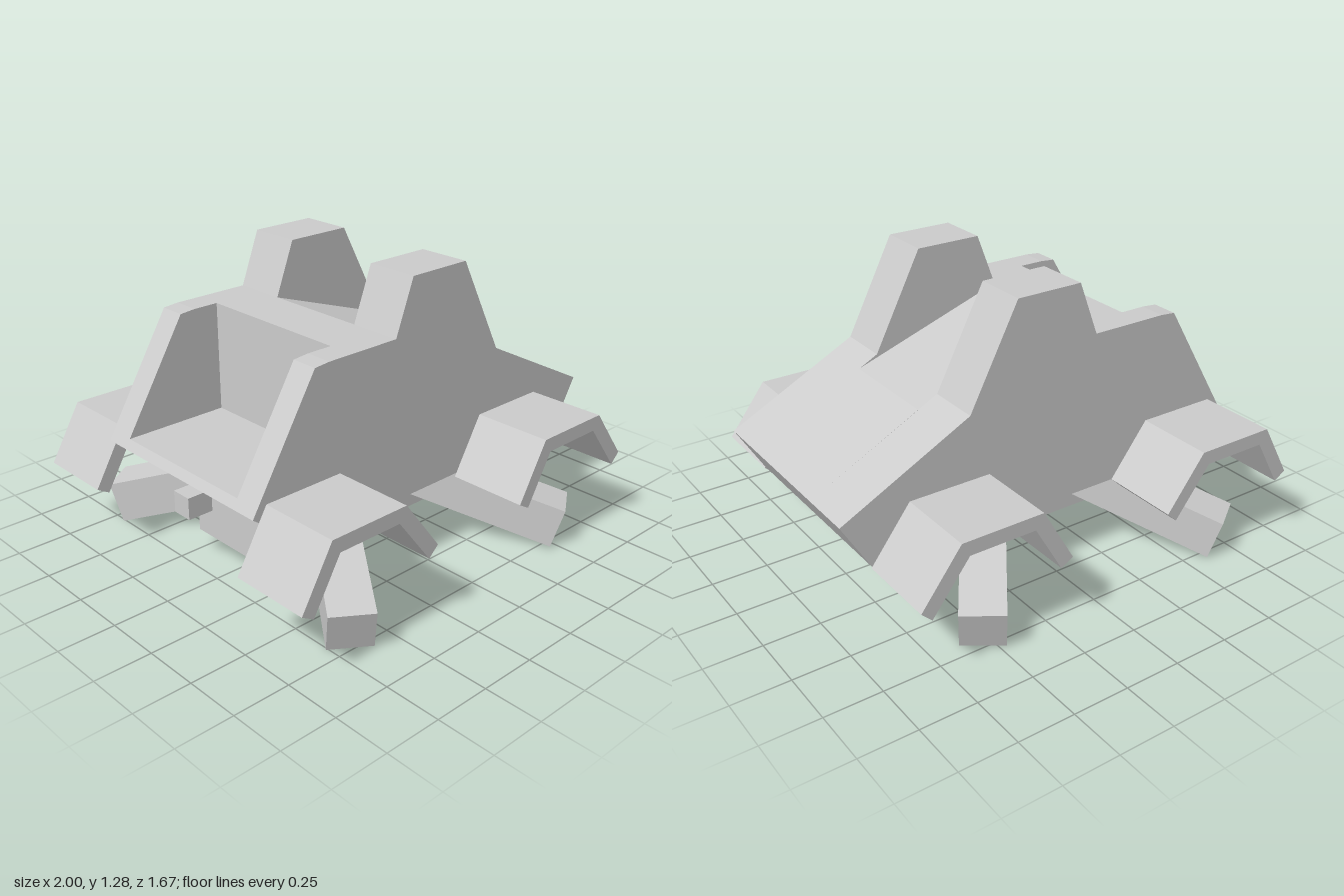
import * as THREE from 'three';

export function createModel() {
  const model = new THREE.Group();
  const material = new THREE.MeshStandardMaterial({ color: 0xcccccc, flatShading: true });

  const add = (name, geometry, parent = model) => {
    const mesh = new THREE.Mesh(geometry, material);
    mesh.name = name;
    parent.add(mesh);
    return mesh;
  };

  // Extrude an x-y outline between two z positions
  const slab = (name, points, z0, z1, parent) => {
    const shape = new THREE.Shape(points.map(([x, y]) => new THREE.Vector2(x, y)));
    const geometry = new THREE.ExtrudeGeometry(shape, { depth: z1 - z0, bevelEnabled: false });
    return add(name, geometry.translate(0, 0, z0), parent);
  };

  // Hull: side-by-side slices sharing one outline, with a cargo bed at the
  // tail and a sloping channel between the two towers
  const underside = [[-0.92, 0.55], [-0.65, 0.36], [0.87, 0.36], [1, 0.58]];
  const towerTop = [[0.42, 0.875], [0.2, 1.303], [-0.1, 1.303], [-0.19, 1.068]];
  const channelTop = [[0.51, 0.83], [-0.19, 1.068]];
  const closedTail = [[-0.54, 1.068], [-0.61, 1.062]];
  const bedTail = [[-0.425, 1.068], [-0.425, 0.588], [-0.897, 0.588]];

  const hull = new THREE.Group();
  hull.name = 'hull';
  model.add(hull);
  const outer = [...underside, ...towerTop, ...closedTail];
  const tower = [...underside, ...towerTop, ...bedTail];
  const centre = [...underside, ...channelTop, ...bedTail];
  slab('sideWall', outer, 0.355, 0.473, hull);
  slab('sideWall', outer, -0.473, -0.355, hull);
  slab('tower', tower, 0.238, 0.355, hull);
  slab('tower', tower, -0.355, -0.238, hull);
  slab('channel', centre, -0.238, 0.238, hull);

  // Bent-plate fenders at the four corners
  const fender = [
    [-1, 0.345], [-0.945, 0.313], [-0.818, 0.53], [-0.522, 0.53],
    [-0.357, 0.316], [-0.31, 0.36], [-0.487, 0.593], [-0.855, 0.593],
  ];
  for (const shift of [0, 1.186]) {
    const points = fender.map(([x, y]) => [x + shift, y]);
    slab('fender', points, 0.473, 0.83);
    slab('fender', points, -0.83, -0.473);
  }

  // Chassis block under the hull, with a small exhaust at the tail
  const chassisX = -0.068;
  add('chassis', new THREE.BoxGeometry(1.175, 0.25, 0.476).translate(chassisX, 0.247, 0));
  add('exhaust', new THREE.BoxGeometry(0.16, 0.1, 0.1).translate(-0.695, 0.3, -0.19));

  // Legs: square beams splayed outward and down from the chassis
  for (const sx of [1, -1]) {
    for (const sz of [1, -1]) {
      const along = new THREE.Vector3(sx * 0.335, -0.18, sz * 0.485).normalize();
      const side = new THREE.Vector3(0, 1, 0).cross(along).normalize();
      const up = along.clone().cross(side);
      const leg = add('leg', new THREE.BoxGeometry(0.187, 0.187, 0.74).translate(0, 0, -0.37));
      leg.quaternion.setFromRotationMatrix(new THREE.Matrix4().makeBasis(side, up, along));
      leg.position.set(chassisX + sx * 0.63, 0.11, sz * 0.76);
    }
  }

  return model;
}
